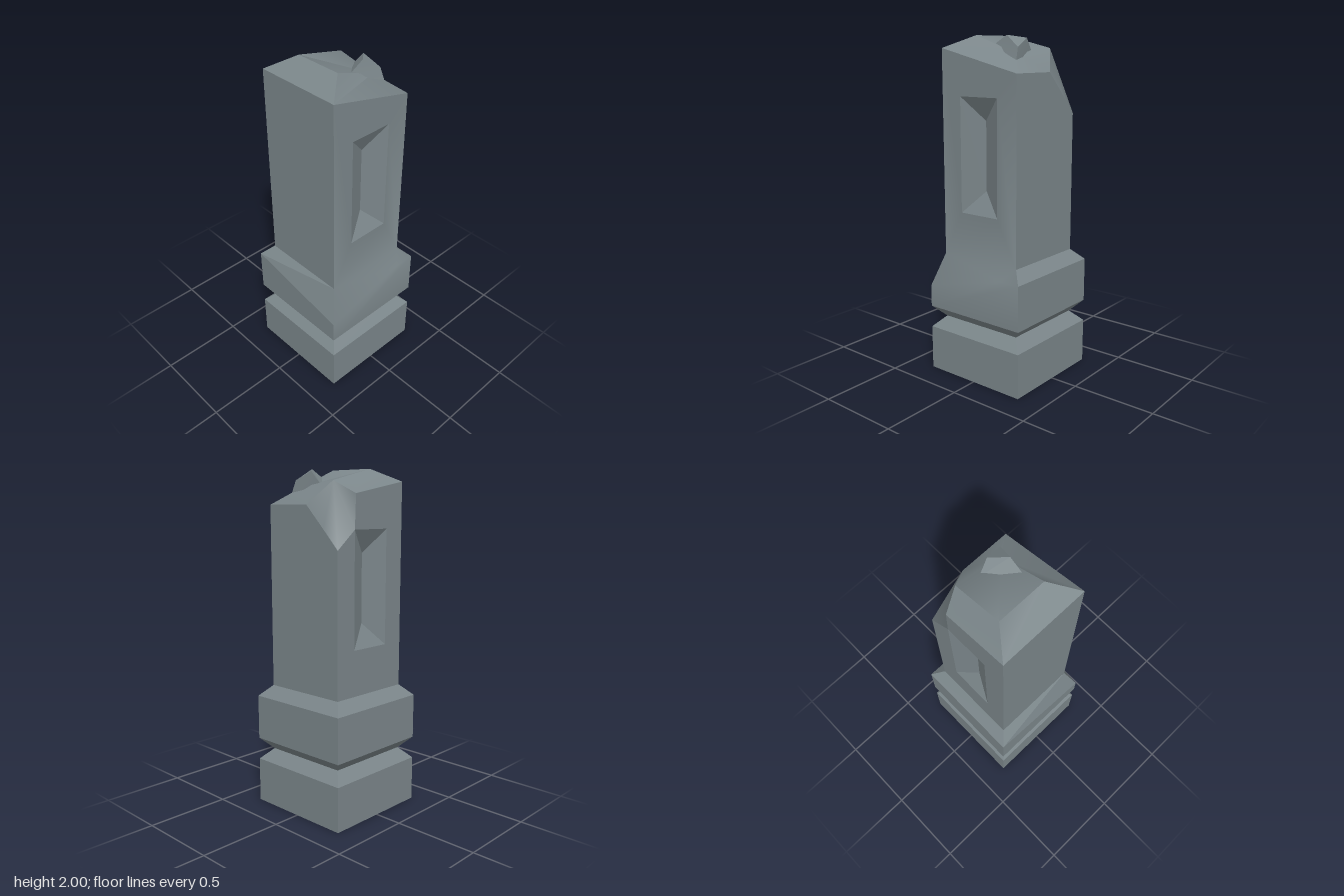
import * as THREE from 'three';
import { toCreasedNormals } from 'three/addons/utils/BufferGeometryUtils.js';

const stone = new THREE.MeshStandardMaterial({ color: 0x7a8589 });
stone.name = 'stone grey';

// Mesh from convex polygons (corners counter-clockwise from outside), each cut into a fan.
function surface(name, faces, crease) {
  const pos = [];
  for (const f of faces)
    for (let i = 1; i < f.length - 1; i++) pos.push(...f[0], ...f[i], ...f[i + 1]);
  const geo = new THREE.BufferGeometry();
  geo.setAttribute('position', new THREE.Float32BufferAttribute(pos, 3));
  const mesh = new THREE.Mesh(toCreasedNormals(geo, crease), stone);
  mesh.name = name;
  return mesh;
}

const W = 0.333, N = 0.267; // half widths of blocks and shaft
// Square ring: front left, front right, back right, back left as seen from the front
const ring = (w, y) => [[-w, y, w], [w, y, w], [w, y, -w], [-w, y, -w]];
const side = (a, b, i) => [a[i], a[(i + 1) % 4], b[(i + 1) % 4], b[i]];

// V-shaped slot and the wall around it, z = 1 for front, -1 for back
function slot(z, topRight, top, topLeft) {
  const p = (x, y, d = N) => [x, y, z * d];
  const g = [p(-0.133, 1), p(0.133, 1), p(0.133, 1.667), p(-0.133, 1.667)];
  const low = p(0, 1.133, 0.2), high = p(0, 1.533, 0.2);
  const a = p(-N, 0.733), b = p(N, 0.733);
  const turn = (faces) => (z > 0 ? faces : faces.map((f) => [...f].reverse()));
  return {
    wall: turn([[a, b, g[1], g[0]], [b, topRight, g[2], g[1]],
      [top, topLeft, g[3], g[2]], [topLeft, a, g[0], g[3]]]),
    groove: turn([[g[0], g[1], low], [g[1], g[2], high, low],
      [g[2], g[3], high], [g[3], g[0], low, high]]),
  };
}

export function createModel() {
  const group = new THREE.Group();
  const add = (...args) => group.add(surface(...args));

  // Foot block and the waist notch
  const foot = [ring(W, 0), ring(W, 0.267), ring(N, 0.333), ring(W, 0.4)];
  const footFaces = [[...foot[0]].reverse()];
  for (let k = 0; k < 3; k++)
    for (let i = 0; i < 4; i++) footFaces.push(side(foot[k], foot[k + 1], i));
  add('foot', footFaces, 0.1);

  // Collar block, with its front left corner worn down
  const collar = ring(W, 0.667), neck = ring(N, 0.733);
  collar[0][1] = 0.53;
  const collarFaces = [];
  for (let i = 1; i < 4; i++)
    collarFaces.push(side(foot[3], collar, i), side(collar, neck, i));
  add('collar', collarFaces, 0.1);

  // Corners of the broken top
  const fl = [-N, 1.93, N], fr = [N, 1.8, N], bl = [-N, 1.93, -N];
  const chipLow = [N, 1.56, -N], chipBack = [0.133, 1.667, -N], backEdge = [0.125, 1.86, -N];
  const chipSide = [N, 1.67, -0.16], sideEdge = [N, 1.8, -0.03], chipTop = [0.18, 1.93, -0.15];

  // Front: worn collar flows smoothly into the shaft wall
  const front = slot(1, fr, fr, fl);
  const mid = [0.2, 0.667, W];
  add('frontWall', [
    [foot[3][0], foot[3][1], collar[1], mid, collar[0]],
    [mid, collar[1], neck[1]],
    [mid, neck[1], neck[0], collar[0]],
    ...front.wall,
  ], 0.9);
  add('frontGroove', front.groove, 0.1);

  // Back and sides of the shaft
  const back = slot(-1, chipLow, backEdge, bl);
  add('backWall', back.wall, 0.1);
  add('backGroove', back.groove, 0.1);
  add('rightWall', [[neck[1], neck[2], chipLow, chipSide, sideEdge, fr]], 0.1);
  add('leftWall', [[neck[3], neck[0], fl, bl]], 0.1);

  // Chipped back corner
  add('chip', [[chipTop, sideEdge, chipSide, chipLow, chipBack, backEdge]], 0.9);

  // Rough crown
  const a = [-0.12, 2, 0.14], b = [-0.12, 2, -0.15], d = [0.15, 1.9, 0.12];
  add('crown', [
    [fl, fr, d, a], [fr, sideEdge, d], [sideEdge, chipTop, d], [d, chipTop, b, a],
    [chipTop, backEdge, b], [backEdge, bl, b], [bl, fl, a, b],
  ], 0.7);

  // Stone shard stuck on the crown
  const base = [[0, 1.955, 0.115], [0.19, 1.85, 0.175], [0.145, 1.9, -0.03]];
  const tip = [[0.08, 2, 0.115], [0.18, 1.935, 0.145], [0.16, 1.985, 0.04]];
  const shard = [tip];
  for (let i = 0; i < 3; i++) {
    const j = (i + 1) % 3;
    shard.push([base[i], base[j], tip[j], tip[i]]);
  }
  add('shard', shard, 0.1);

  return group;
}
